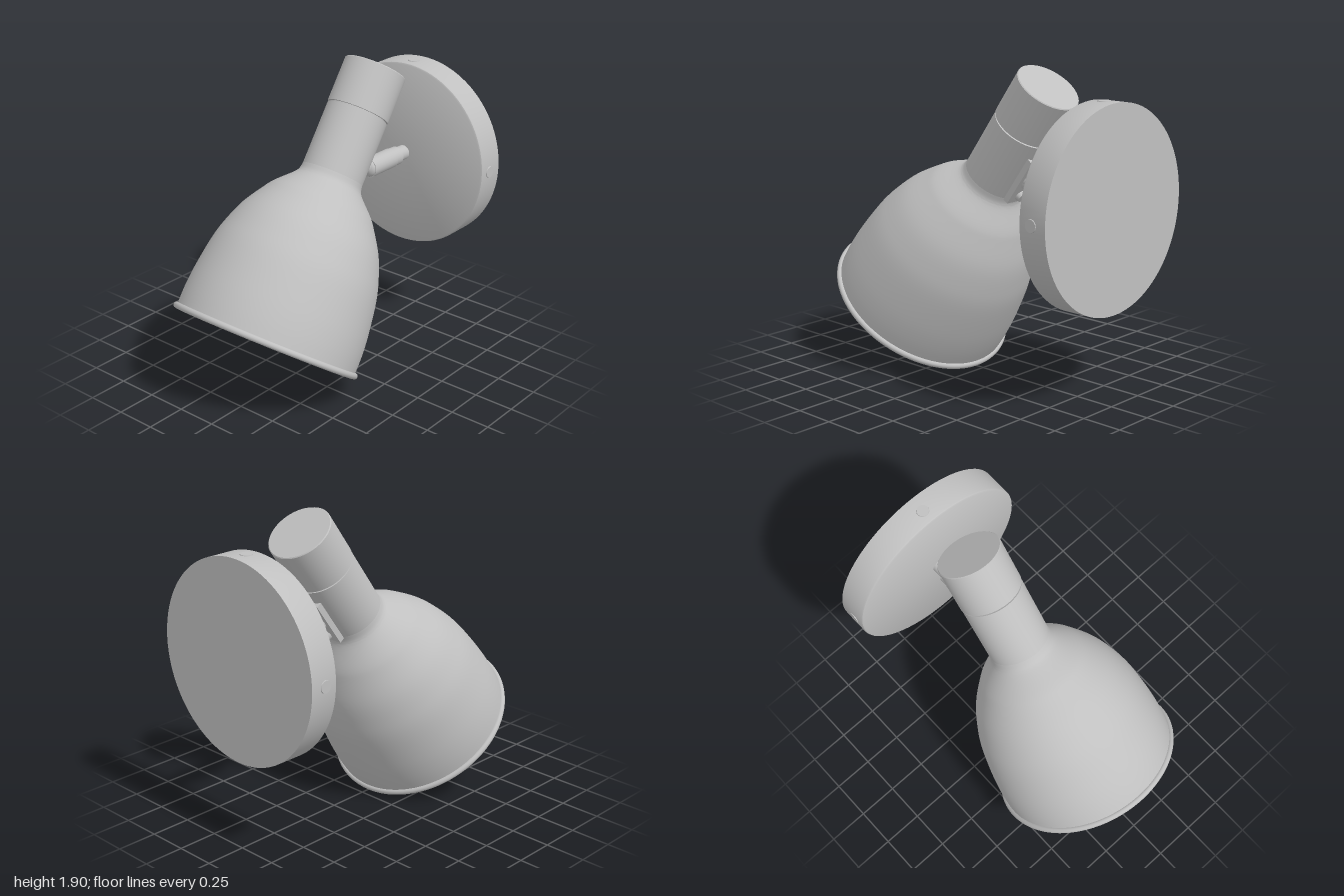
import * as THREE from 'three';
import { toCreasedNormals } from 'three/addons/utils/BufferGeometryUtils.js';

const grey = new THREE.MeshStandardMaterial({ color: 0xc0c0c0 });
grey.name = 'satin grey';
grey.side = THREE.DoubleSide;

const V2 = (p) => new THREE.Vector2(p[0], p[1]);

function add(parent, name, geometry, x = 0, y = 0, z = 0) {
  const mesh = new THREE.Mesh(geometry, grey);
  mesh.name = name;
  mesh.position.set(x, y, z);
  parent.add(mesh);
  return mesh;
}

// Turned part from [radius, height] points, sharp where the profile bends strongly
function turned(points, segments = 64) {
  return toCreasedNormals(new THREE.LatheGeometry(points.map(V2), segments), 0.6);
}

// Turned part whose axis runs along z (profile height = z)
function turnedZ(points, segments = 48) {
  return turned(points, segments).rotateX(Math.PI / 2);
}

// Plain rod between two points
function rod(parent, name, a, b, radius) {
  const from = new THREE.Vector3(...a), to = new THREE.Vector3(...b);
  const dir = to.clone().sub(from);
  const mid = from.clone().add(to).multiplyScalar(0.5);
  const mesh = add(parent, name, new THREE.CylinderGeometry(radius, radius, dir.length(), 24), mid.x, mid.y, mid.z);
  mesh.quaternion.setFromUnitVectors(new THREE.Vector3(0, 1, 0), dir.normalize());
  return mesh;
}

function buildHead() {
  const head = new THREE.Group();
  head.name = 'lampHead';
  head.position.set(0, 0.35, 0.522);
  head.rotation.x = -0.621;

  // Bell shade: inner wall down, outer wall up
  const outer = new THREE.SplineCurve([
    [0.567, 0], [0.567, 0.12], [0.556, 0.26], [0.526, 0.46], [0.489, 0.59],
    [0.436, 0.72], [0.355, 0.85], [0.31, 0.91], [0.225, 0.995], [0.2, 1.03], [0.192, 1.07],
  ].map(V2)).getPoints(48).map((p) => [p.x, p.y]);
  const inner = outer.slice(0, 42).map(([r, y]) => [r - 0.012, y]).reverse();
  add(head, 'shade', turned([[0, inner[0][1]], ...inner, ...outer], 96));

  // Rolled rim
  add(head, 'rim', new THREE.TorusGeometry(0.569, 0.019, 12, 96).rotateX(Math.PI / 2));

  // Neck and cap, parted by a narrow groove
  add(head, 'neck', turned([[0.192, 1.06], [0.192, 1.468], [0.18, 1.468], [0.18, 1.478]]));
  add(head, 'cap', turned([[0.18, 1.478], [0.195, 1.478], [0.195, 1.762], [0.19, 1.767], [0, 1.767]]));

  // Bulb with its tapered stem, and the socket above it
  const bulb = [];
  for (let i = 0; i <= 20; i++) {
    const a = -Math.PI / 2 + (i / 20) * 2.35;
    bulb.push([Math.max(0, 0.225 * Math.cos(a)), 0.42 + 0.225 * Math.sin(a)]);
  }
  add(head, 'bulb', turned([...bulb, [0.115, 0.66], [0.1, 0.74], [0.1, 0.8]], 48));
  add(head, 'socket', new THREE.CylinderGeometry(0.13, 0.13, 0.24, 40), 0, 0.9, 0);

  // Mounting plate with a screw at each end and a pivot boss in the middle
  add(head, 'mountPlate', new THREE.BoxGeometry(0.16, 0.32, 0.045), 0, 1.22, -0.188);
  for (const y of [1.11, 1.33]) {
    add(head, 'plateScrew', new THREE.CylinderGeometry(0.03, 0.036, 0.03, 20).rotateX(-Math.PI / 2), 0, y, -0.22);
  }
  add(head, 'pivotBoss', new THREE.CylinderGeometry(0.05, 0.05, 0.04, 24).rotateX(Math.PI / 2), 0, 1.22, -0.225);
  return head;
}

function buildWallMount() {
  const mount = new THREE.Group();
  mount.name = 'wallMount';
  const y = 1.142, r = 0.601;

  // Round wall plate with a softened front edge
  add(mount, 'wallPlate', turnedZ([
    [0, -1], [r, -1], [r, -0.828], [r - 0.004, -0.82], [r - 0.013, -0.815], [0, -0.815],
  ], 96), 0, y, 0);

  // Four fixing screws around the edge, the lowest standing proud
  for (let i = 0; i < 4; i++) {
    const a = i * Math.PI / 2;
    const d = i === 3 ? r : r - 0.006;
    const screw = add(mount, 'edgeScrew', new THREE.CylinderGeometry(0.036, 0.042, 0.02, 24),
      d * Math.cos(a), y + d * Math.sin(a), -0.9);
    screw.rotation.z = a - Math.PI / 2;
  }
  return mount;
}

function buildArm() {
  const arm = new THREE.Group();
  arm.name = 'arm';
  rod(arm, 'armStub', [0, 1.15, -0.83], [0, 1.152, -0.72], 0.047);
  // Sleeve with a fine joint line
  rod(arm, 'sleeveBack', [0, 1.15, -0.737], [0, 1.152, -0.674], 0.059);
  rod(arm, 'sleeveFront', [0, 1.152, -0.676], [0, 1.154, -0.45], 0.063);
  // Knuckle and tilted link up to the head
  const knuckle = add(arm, 'knuckle', new THREE.SphereGeometry(0.058, 24, 16), 0, 1.155, -0.45);
  knuckle.scale.z = 0.6;
  rod(arm, 'link', [0, 1.15, -0.445], [0, 1.235, -0.345], 0.04);
  add(arm, 'ballJoint', new THREE.SphereGeometry(0.052, 24, 16), 0, 1.228, -0.368);
  return arm;
}

export function createModel() {
  const model = new THREE.Group();
  model.name = 'wallSpotLamp';
  model.add(buildHead(), buildArm(), buildWallMount());
  return model;
}
